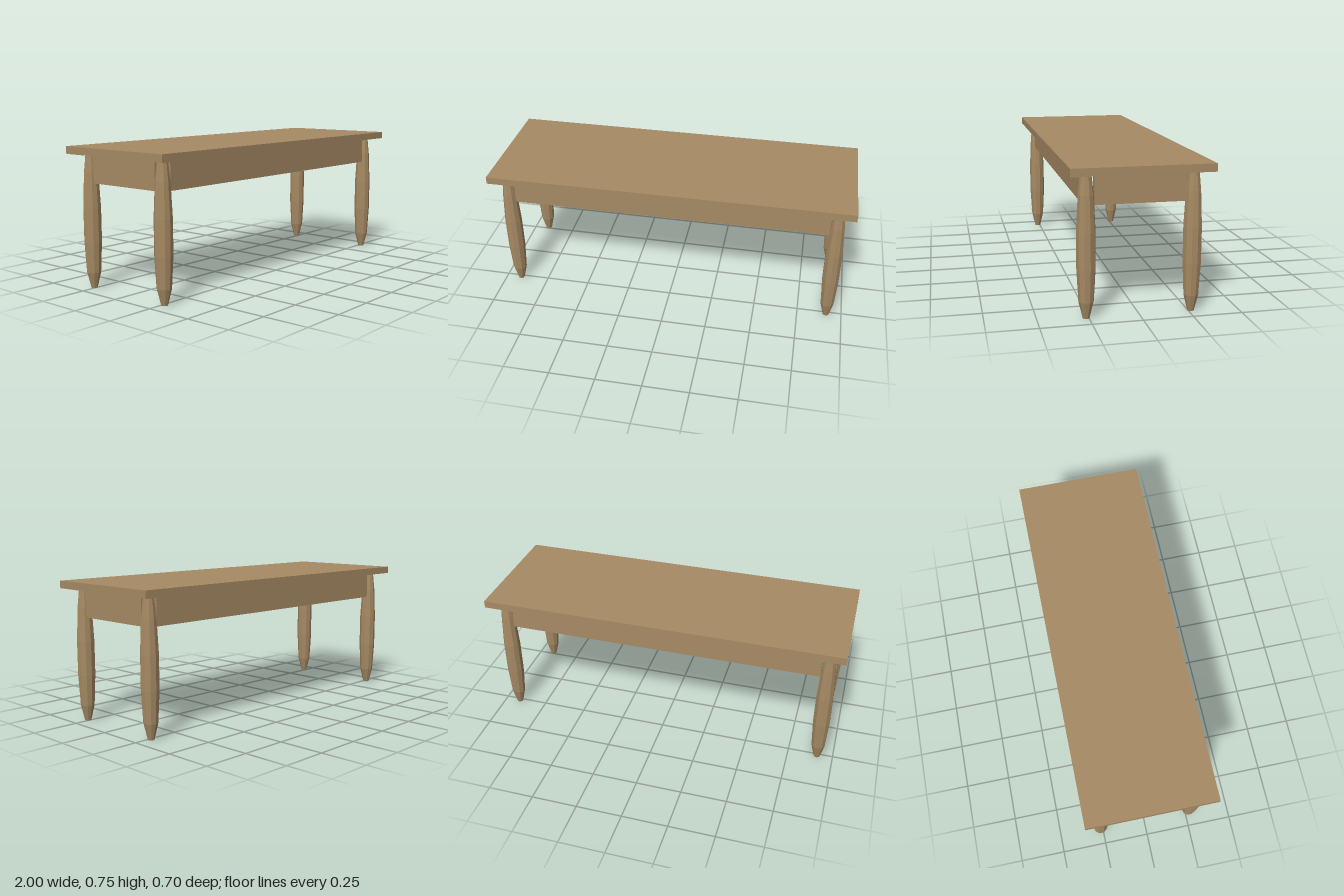
import * as THREE from 'three';

export function createModel() {
  const model = new THREE.Group();
  model.name = 'bench';

  const wood = new THREE.MeshStandardMaterial({ color: 0xa68a64 });
  wood.name = 'wood';

  const legX = 0.9125, legZ = 0.263;   // leg centres
  const topHeight = 0.75, topThickness = 0.04;
  const underside = topHeight - topThickness;
  const apronHeight = 0.15, apronThickness = 0.03;

  function addBox(name, w, h, d, x, y, z) {
    const mesh = new THREE.Mesh(new THREE.BoxGeometry(w, h, d), wood);
    mesh.name = name;
    mesh.position.set(x, y, z);
    model.add(mesh);
  }

  // Table top
  addBox('top', 2, topThickness, 0.7, 0, topHeight - topThickness / 2, 0);

  // Aprons run between the leg centres
  const apronY = underside - apronHeight / 2;
  for (const s of [-1, 1]) {
    addBox(s > 0 ? 'frontApron' : 'backApron', 1.75, apronHeight, apronThickness, 0, apronY, s * legZ);
    addBox(s > 0 ? 'leftApron' : 'rightApron', apronThickness, apronHeight, 0.45, s * legX, apronY, 0);
  }

  // Ten-sided turned legs, with faceted faces and closed ends
  const profile = [
    [0, 0], [0.017, 0], [0.038, 0.085], [0.047, 0.25],
    [0.047, 0.43], [0.038, 0.61], [0.027, underside], [0, underside],
  ].map(([r, y]) => new THREE.Vector2(r, y));
  const legGeometry = new THREE.LatheGeometry(profile, 10).toNonIndexed();
  legGeometry.computeVertexNormals();

  for (const sz of [1, -1]) {
    for (const sx of [1, -1]) {
      const leg = new THREE.Mesh(legGeometry, wood);
      leg.name = (sz > 0 ? 'front' : 'back') + (sx > 0 ? 'Left' : 'Right') + 'Leg';
      leg.position.set(sx * legX, 0, sz * legZ);
      model.add(leg);
    }
  }

  return model;
}
